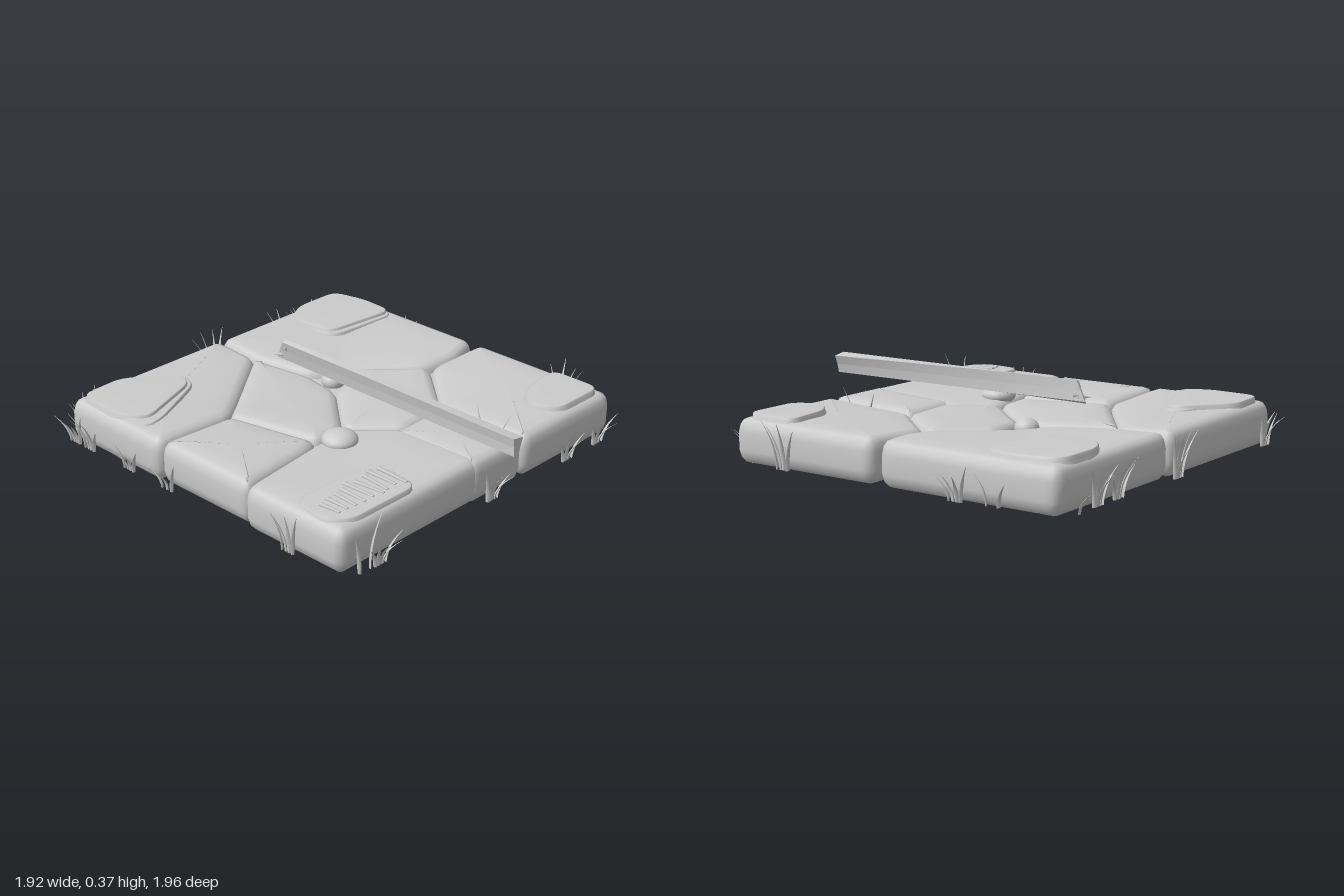
import * as THREE from 'three';

const material = new THREE.MeshStandardMaterial({ color: 0xcccccc, side: THREE.DoubleSide });

let seed = 7;
const rand = (a, b) => {
  seed = (seed * 16807) % 2147483647;
  return a + (b - a) * (seed / 2147483647);
};

function add(parent, name, geometry, x = 0, y = 0, z = 0) {
  const mesh = new THREE.Mesh(geometry, material);
  mesh.name = name;
  mesh.position.set(x, y, z);
  parent.add(mesh);
  return mesh;
}

// Evenly spaced outline of a polygon in x/z with softened corners
function roundedOutline(corners, radius, count) {
  const pts = corners.map(([x, z]) => new THREE.Vector2(x, z));
  const path = new THREE.Path();
  pts.forEach((p, i) => {
    const prev = pts[(i + pts.length - 1) % pts.length], next = pts[(i + 1) % pts.length];
    const toward = q => p.clone().lerp(q, Math.min(0.45, radius / p.distanceTo(q)));
    const a = toward(prev), b = toward(next);
    if (i === 0) path.moveTo(a.x, a.y); else path.lineTo(a.x, a.y);
    path.quadraticCurveTo(p.x, p.y, b.x, b.y);
  });
  path.closePath();
  return path.getSpacedPoints(count).slice(0, count);
}

// Slab lofted from rings of { inset, y, fill }; fill draws a ring in to the middle
function slab(corners, radius, rings, warp, count = 96) {
  const line = roundedOutline(corners, radius, count);
  const mid = line.reduce((s, p) => s.add(p), new THREE.Vector2()).divideScalar(count);
  const pos = [], index = [];
  for (const { inset, y, fill = 0 } of rings) {
    line.forEach((p, i) => {
      const t = line[(i + 1) % count].clone().sub(line[(i + count - 1) % count]).normalize();
      const q = new THREE.Vector2(p.x - t.y * inset, p.y + t.x * inset).lerp(mid, fill);
      pos.push(q.x, warp(q.x, y, q.y), q.y);
    });
  }
  for (let k = 0; k < rings.length - 1; k++) {
    for (let i = 0; i < count; i++) {
      const j = (i + 1) % count, lo = k * count, up = lo + count;
      index.push(lo + i, up + i, lo + j, lo + j, up + i, up + j);
    }
  }
  const g = new THREE.BufferGeometry();
  g.setAttribute('position', new THREE.Float32BufferAttribute(pos, 3));
  g.setIndex(index);
  g.computeVertexNormals();
  return g;
}

// Stones grow slightly thinner towards the middle of the floor
function thin(x, y, z) {
  const t = Math.max(0, 1 - Math.max(Math.abs(x), Math.abs(z)) / 0.8);
  return y > 0.1 ? y - 0.035 * t : y + 0.03 * t;
}

const stoneRings = [
  { inset: 0.06, y: 0.004, fill: 1 }, { inset: 0.06, y: 0.004, fill: 0.7 },
  { inset: 0.06, y: 0.005, fill: 0.35 }, { inset: 0.06, y: 0.006 },
  { inset: 0.03, y: 0.014 }, { inset: 0.01, y: 0.035 }, { inset: 0, y: 0.07 },
  { inset: 0, y: 0.15 }, { inset: 0.008, y: 0.182 }, { inset: 0.022, y: 0.202 },
  { inset: 0.05, y: 0.212 }, { inset: 0.05, y: 0.215, fill: 0.3 },
  { inset: 0.05, y: 0.217, fill: 0.65 }, { inset: 0.05, y: 0.218, fill: 1 },
];

const stones = {
  backRightStone: [[-0.87, -0.855], [0.025, -0.855], [0.025, -0.59], [-0.45, -0.245], [-0.87, -0.245]],
  rightStone: [[-0.86, -0.255], [-0.45, -0.25], [-0.35, 0.19], [-0.43, 0.225], [-0.86, 0.295]],
  frontRightStone: [[-0.88, 0.285], [-0.4, 0.2], [-0.18, 0.17], [-0.01, 0.37], [-0.02, 0.835], [-0.88, 0.835]],
  centreStone: [[-0.47, -0.25], [0.02, -0.61], [0.09, -0.29], [0.07, -0.1], [-0.19, 0.19], [-0.36, 0.19]],
  backLeftStone: [[0.025, -0.85], [0.86, -0.85], [0.86, 0.035], [0.68, 0.08], [0.51, 0.05], [0.3, -0.155], [0.09, -0.31], [0.015, -0.58]],
  innerStone: [[-0.2, 0.18], [0.06, -0.12], [0.32, -0.18], [0.53, 0.055], [0.26, 0.37], [-0.01, 0.39]],
  smallFrontStone: [[-0.09, 0.36], [0.25, 0.35], [0.235, 0.84], [-0.1, 0.84]],
  frontLeftStone: [[0.52, 0.055], [0.86, 0.075], [0.86, 0.845], [0.235, 0.845], [0.245, 0.35]],
};

// Worn patches lying on the corner stones, two of them on a lower shoulder
const patchRings = [
  { inset: -0.012, y: 0.195 }, { inset: -0.002, y: 0.218 }, { inset: 0, y: 0.231 },
  { inset: 0.006, y: 0.234 }, { inset: 0.006, y: 0.235, fill: 0.5 }, { inset: 0.006, y: 0.235, fill: 1 },
];
const patches = {
  backRightPatch: [[-0.83, -0.81], [-0.6, -0.82], [-0.39, -0.64], [-0.42, -0.56], [-0.77, -0.43], [-0.84, -0.55]],
  backRightShoulder: [[-0.83, -0.6], [-0.5, -0.72], [-0.37, -0.66], [-0.39, -0.56], [-0.72, -0.4], [-0.82, -0.39]],
  backLeftPatch: [[0.42, -0.75], [0.53, -0.82], [0.78, -0.82], [0.82, -0.65], [0.81, -0.46], [0.43, -0.5]],
  backLeftShoulder: [[0.4, -0.62], [0.6, -0.7], [0.81, -0.62], [0.81, -0.44], [0.43, -0.47]],
  frontLeftPatch: [[0.48, 0.66], [0.58, 0.57], [0.82, 0.54], [0.82, 0.8], [0.53, 0.8]],
  frontRightPatch: [[-0.83, 0.53], [-0.5, 0.54], [-0.38, 0.6], [-0.4, 0.8], [-0.78, 0.8], [-0.85, 0.73]],
};
const lowered = { frontRightPatch: 0.008, backRightShoulder: 0.014, backLeftShoulder: 0.014 };

// Curved grass blade leaning along +x, widest a third of the way up
function blade(height, lean, width) {
  const g = new THREE.CylinderGeometry(0.001, width * 0.7, height, 5, 6).translate(0, height / 2, 0);
  const p = g.attributes.position;
  for (let i = 0; i < p.count; i++) {
    const t = p.getY(i) / height, swell = 1 + Math.sin(Math.PI * t) * 0.6;
    p.setXYZ(i, p.getX(i) * 0.5 * swell + lean * t * t, p.getY(i), p.getZ(i) * swell);
  }
  g.computeVertexNormals();
  return g;
}

// Grass tufts: x, z, outward heading, blade count, height
const tufts = [
  [-0.78, 0.87, 'front', 2, 0.22], [-0.7, 0.88, 'front', 5, 0.13],
  [0.0, 0.87, 'front', 5, 0.14], [0.5, 0.88, 'front', 4, 0.13], [0.72, 0.88, 'front', 4, 0.13],
  [0.88, 0.55, 'left', 4, 0.2], [0.89, -0.38, 'left', 4, 0.13], [0.87, -0.55, 'left', 2, 0.11],
  [-0.89, -0.8, 'right', 4, 0.15], [-0.89, -0.7, 'right', 4, 0.13], [-0.89, -0.43, 'right', 4, 0.13],
  [-0.89, -0.18, 'right', 3, 0.12], [-0.89, 0.55, 'right', 4, 0.16],
  [-0.77, -0.88, 'back', 4, 0.14], [0.02, -0.89, 'back', 5, 0.18],
  [0.47, -0.88, 'back', 4, 0.14], [0.62, -0.88, 'back', 5, 0.15], [0.77, -0.89, 'back', 1, 0.11],
  [0.235, 0.78, 'front', 2, 0.18], [0.235, 0.65, 'left', 2, 0.2], [0.24, 0.5, 'left', 2, 0.22],
];
const headings = { left: 0, back: Math.PI / 2, right: Math.PI, front: -Math.PI / 2 };

// Long twisted plank with grooved sides, broad at the front and narrow at the back
function plankGeometry() {
  const g = new THREE.BoxGeometry(1, 1, 1, 1, 2, 16).toNonIndexed();
  const p = g.attributes.position;
  for (let i = 0; i < p.count; i++) {
    const x = p.getX(i), y = p.getY(i), t = 0.5 - p.getZ(i);
    const waist = Math.abs(y) < 0.1 ? 0.85 : 1;
    const width = THREE.MathUtils.lerp(0.046, 0.016, t) * (1 + 0.7 * y) * waist;
    const height = 0.082 + 0.01 * Math.min(1, t * 1.6);
    const slant = t > 0.99 ? (0.5 - y) * 0.05 : 0;
    const twist = THREE.MathUtils.lerp(-0.35, 0.3, t) * x * 0.03;
    p.setXYZ(i, -0.015 + x * width + y * THREE.MathUtils.lerp(0.01, -0.012, t),
      0.322 + 0.005 * t + y * height + twist, 1 - 1.355 * t - slant);
  }
  g.computeVertexNormals();
  return g;
}

export function createModel() {
  const model = new THREE.Group();
  model.name = 'stoneFloorTile';

  for (const [name, corners] of Object.entries(stones)) add(model, name, slab(corners, 0.05, stoneRings, thin));
  for (const [name, corners] of Object.entries(patches)) {
    add(model, name, slab(corners, 0.06, patchRings, (x, y) => y - (lowered[name] ?? 0), 48));
  }

  // Packed earth closing the seams
  add(model, 'seamBed', new THREE.BoxGeometry(1.46, 0.06, 1.46), 0, 0.12, 0);

  // Ragged ridges across the front right patch
  for (let i = 0; i < 9; i++) {
    const ridge = add(model, 'patchRidge', new THREE.CylinderGeometry(0.009, 0.016, rand(0.1, 0.17), 5),
      -0.78 + i * 0.046, 0.226, 0.67 + rand(-0.015, 0.015));
    ridge.rotation.set(Math.PI / 2, 0, rand(-0.12, 0.12));
    ridge.scale.z = 0.6;
  }

  // Pebbles
  const pebble = new THREE.SphereGeometry(1, 24, 16);
  add(model, 'largePebble', pebble, -0.3, 0.2, 0.27).scale.set(0.08, 0.045, 0.08);
  add(model, 'smallPebble', pebble, 0.14, 0.17, -0.2).scale.set(0.055, 0.045, 0.055);

  // Plank with splinters at its broken end
  const plank = new THREE.Group();
  plank.name = 'plank';
  model.add(plank);
  add(plank, 'plankBoard', plankGeometry());
  [[-0.03, 0.3, -0.385, 0.7], [-0.012, 0.31, -0.375, 0.2], [-0.015, 0.34, -0.36, -0.4]].forEach(([x, y, z, turn]) => {
    add(plank, 'splinter', new THREE.ConeGeometry(0.012, 0.06, 4), x, y, z).rotation.set(-Math.PI / 2, 0, turn);
  });

  // Grass around the rim and in the front seam
  for (const [x, z, side, count, height] of tufts) {
    const tuft = new THREE.Group();
    tuft.name = 'grassTuft';
    tuft.position.set(x, 0.02, z);
    model.add(tuft);
    for (let i = 0; i < count; i++) {
      const spread = count > 1 ? i / (count - 1) - 0.5 : 0;
      const h = height * rand(0.7, 1.25);
      const leaf = add(tuft, 'grassBlade', blade(h, rand(0.045, 0.08), 0.012));
      leaf.rotation.y = headings[side] + spread * 2.2;
      const a = headings[side] + Math.PI / 2;
      leaf.position.set(Math.cos(a) * spread * 0.06, 0, -Math.sin(a) * spread * 0.06);
    }
  }
  return model;
}
